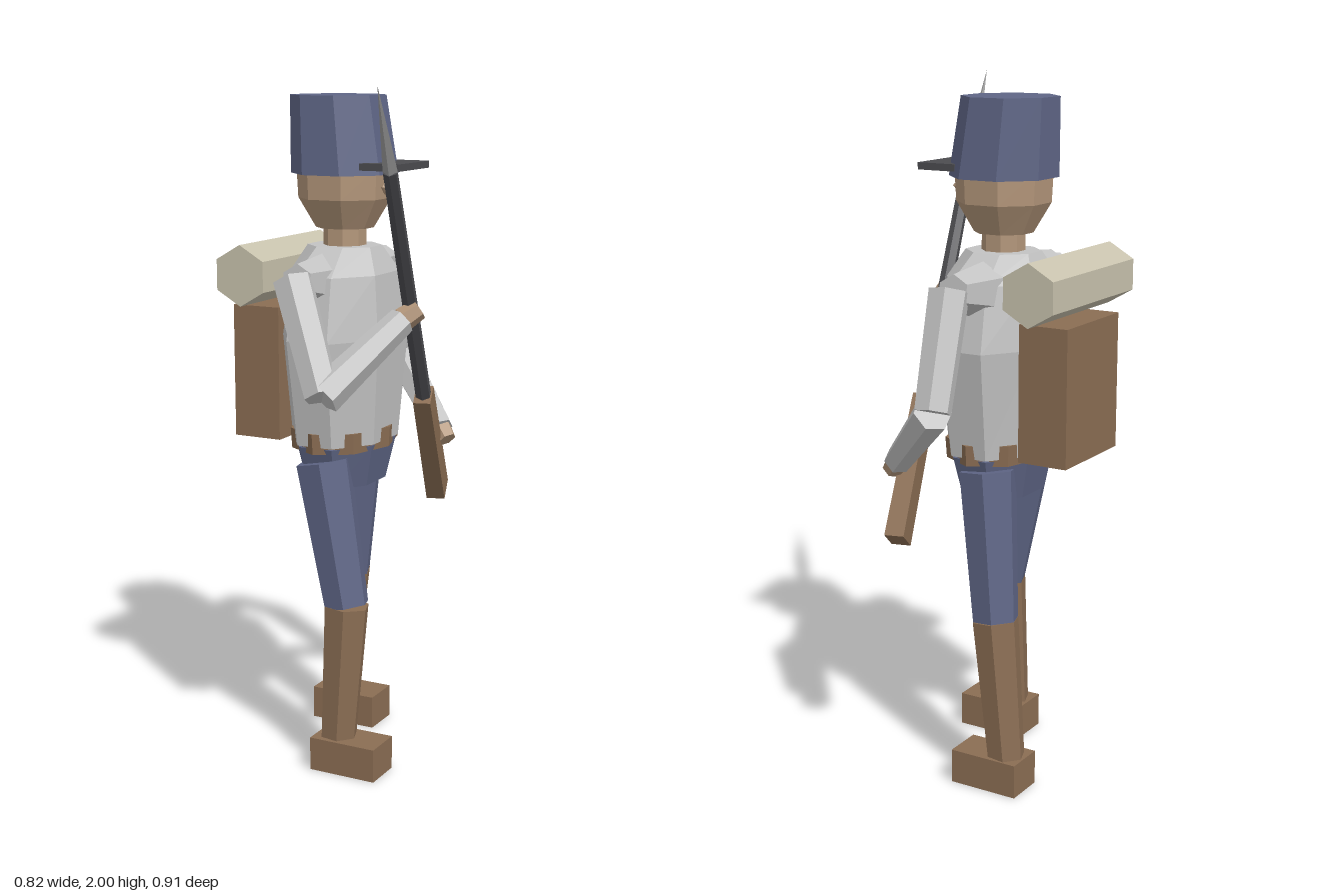
import * as THREE from 'three';

const mat = (name, color) => {
  const m = new THREE.MeshStandardMaterial({ color });
  m.name = name;
  return m;
};

export function createModel() {
  const blue = mat('uniform blue', 0x5f6686);
  const grey = mat('jacket grey', 0xc2c2c2);
  const brown = mat('leather brown', 0x8a6d53);
  const skin = mat('skin', 0xb3967a);
  const canvas = mat('blanket canvas', 0xc8c2ad);
  const dark = mat('dark metal', 0x4c4c50);
  const steel = mat('steel', 0x9a9a9a);

  const root = new THREE.Group();
  root.name = 'soldier';

  // Faceted mesh
  function add(parent, name, geometry, material, x = 0, y = 0, z = 0) {
    const g = geometry.index ? geometry.toNonIndexed() : geometry;
    g.computeVertexNormals();
    const mesh = new THREE.Mesh(g, material);
    mesh.name = name;
    mesh.position.set(x, y, z);
    parent.add(mesh);
    return mesh;
  }

  // Closed loft through rings [y, radiusX, radiusZ, centreZ], bottom to top
  function loft(rings, sides = 8, start = Math.PI / sides) {
    const k = rings.length - 1;
    const g = new THREE.CylinderGeometry(1, 1, k, sides, k, false, start);
    const p = g.attributes.position;
    for (let i = 0; i < p.count; i++) {
      const [y, rx, rz, cz = 0] = rings[Math.round(p.getY(i) + k / 2)];
      p.setXYZ(i, p.getX(i) * rx, y, p.getZ(i) * rz + cz);
    }
    return g;
  }

  // Tapered limb between two points
  function limb(name, a, b, ra, rb, material, sides = 6) {
    const from = new THREE.Vector3(...a), to = new THREE.Vector3(...b);
    const dir = to.clone().sub(from);
    const mid = from.add(to).multiplyScalar(0.5);
    const g = new THREE.CylinderGeometry(rb, ra, dir.length(), sides, 1, false, Math.PI / sides + 0.35);
    const mesh = add(root, name, g, material, mid.x, mid.y, mid.z);
    const down = dir.y < 0;
    if (down) {
      // Keep facets upright on limbs that hang down
      mesh.geometry.rotateX(Math.PI);
      mesh.quaternion.setFromUnitVectors(new THREE.Vector3(0, -1, 0), dir.normalize());
    } else {
      mesh.quaternion.setFromUnitVectors(new THREE.Vector3(0, 1, 0), dir.normalize());
    }
    return mesh;
  }

  // Upper body, turned slightly to its left
  const turn = 0.35;
  const body = new THREE.Group();
  body.name = 'body';
  body.position.set(-0.025, 0, -0.105);
  body.rotation.y = turn;
  root.add(body);

  add(body, 'torso', loft([
    [0.97, 0.205, 0.145], [1.28, 0.25, 0.17], [1.46, 0.205, 0.15], [1.535, 0.1, 0.11],
  ]), grey);
  add(body, 'belt', loft([[0.95, 0.2, 0.143], [1.01, 0.205, 0.147]], 8, 0), brown);
  add(body, 'pelvis', loft([[0.84, 0.16, 0.11], [0.965, 0.2, 0.138]]), blue);
  add(body, 'neck', loft([[1.5, 0.062, 0.062], [1.61, 0.062, 0.062]]), skin);
  add(body, 'head', loft([
    [1.585, 0.08, 0.085], [1.67, 0.132, 0.135], [1.76, 0.135, 0.14],
  ]), skin);
  add(body, 'nose', new THREE.OctahedronGeometry(0.03), skin, 0, 1.705, 0.137);
  add(body, 'cap', loft([[1.74, 0.155, 0.155], [1.96, 0.138, 0.138, -0.02]]), blue);
  add(body, 'capVisor', new THREE.BoxGeometry(0.2, 0.02, 0.12), dark, 0, 1.765, 0.16);

  // Backpack and blanket roll
  add(body, 'backpack', new THREE.BoxGeometry(0.3, 0.39, 0.15), brown, 0, 1.165, -0.213);
  const roll = new THREE.CylinderGeometry(0.088, 0.088, 0.47, 6, 1, false, Math.PI / 6);
  roll.rotateZ(Math.PI / 2);
  add(body, 'blanketRoll', roll, canvas, 0, 1.457, -0.213);

  // Legs: [side, hip, knee, ankle, foot]
  const legs = [
    ['right', [-0.155, 0.92, -0.055], [-0.145, 0.5, 0.032], [-0.168, 0.08, 0.02], [-0.155, 0.06]],
    ['left', [0.09, 0.93, -0.18], [0.105, 0.5, -0.235], [0.105, 0.08, -0.287], [0.118, -0.242]],
  ];
  for (const [side, hip, knee, ankle, foot] of legs) {
    limb(side + 'Thigh', hip, knee, 0.085, 0.068, blue);
    limb(side + 'Boot', knee, ankle, 0.069, 0.055, brown);
    const box = new THREE.BoxGeometry(0.12, 0.1, 0.21);
    add(root, side + 'Foot', box, brown, foot[0], 0.05, foot[1]).rotation.y = turn;
  }

  // Arms: [side, inner shoulder, shoulder, elbow, wrist, fingertips]
  const arms = [
    ['right', [-0.14, 1.44, -0.075], [-0.285, 1.46, -0.03], [-0.335, 1.165, 0.15],
      [-0.085, 1.355, 0.2], [-0.045, 1.385, 0.225]],
    ['left', [0.1, 1.44, -0.165], [0.25, 1.46, -0.212], [0.355, 1.155, -0.275],
      [0.288, 0.955, -0.02], [0.285, 0.925, 0.01]],
  ];
  for (const [side, inner, shoulder, elbow, wrist, tip] of arms) {
    limb(side + 'Shoulder', inner, [shoulder[0] * 0.95, 1.455, shoulder[2]], 0.08, 0.05, grey);
    limb(side + 'UpperArm', shoulder, elbow, 0.058, 0.052, grey);
    limb(side + 'Forearm', elbow, wrist, 0.054, 0.04, grey);
    limb(side + 'Hand', wrist, tip, 0.035, 0.03, skin);
  }

  // Rifle, held across the body; its own y runs from butt to bayonet tip
  const rifle = new THREE.Group();
  rifle.name = 'rifle';
  rifle.position.set(0.335, 0.745, -0.08);
  rifle.rotation.set(0.635, -0.95, 0, 'YXZ');
  root.add(rifle);
  const stock = new THREE.CylinderGeometry(0.045, 0.05, 0.437, 4, 1, false, Math.PI / 4);
  stock.scale(0.8, 1, 1.1);
  add(rifle, 'rifleStock', stock, brown, 0, 0.218, 0);
  add(rifle, 'rifleBarrel', new THREE.CylinderGeometry(0.02, 0.024, 0.86, 6), dark, 0, 0.855, 0);
  add(rifle, 'bayonet', new THREE.ConeGeometry(0.02, 0.275, 4), steel, 0, 1.42, 0);

  return root;
}
